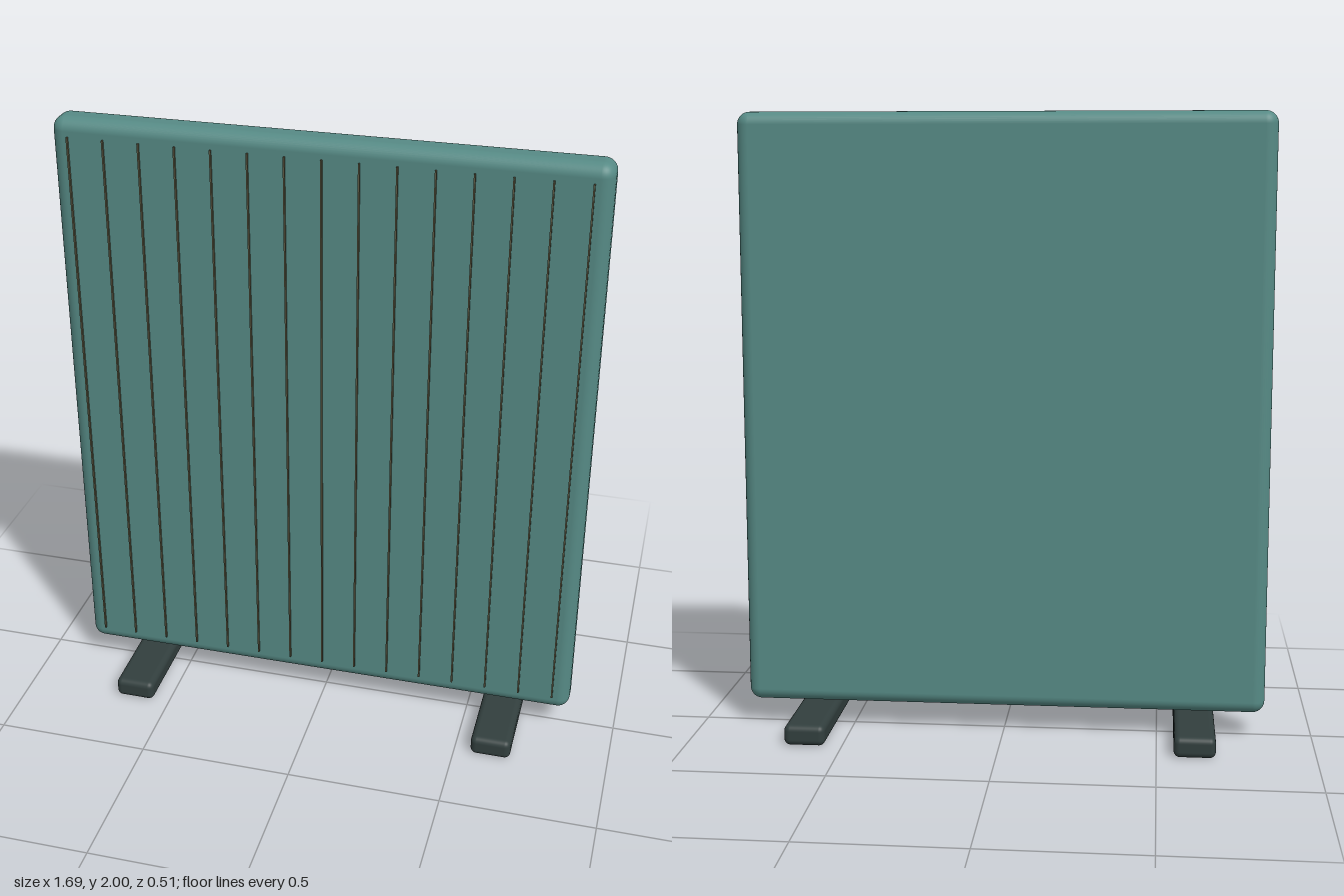
import * as THREE from 'three';
import { RoundedBoxGeometry } from 'three/addons/geometries/RoundedBoxGeometry.js';

export function createModel() {
  const group = new THREE.Group();
  group.name = 'dividerScreen';

  const material = (name, color) => {
    const m = new THREE.MeshStandardMaterial({ color });
    m.name = name;
    return m;
  };
  const teal = material('tealFabric', 0x568a85);
  const charcoal = material('charcoalFeet', 0x323f3e);
  const brown = material('oliveBrownSeam', 0x5c5a44);

  const add = (name, geometry, mat, x, y, z) => {
    const mesh = new THREE.Mesh(geometry, mat);
    mesh.name = name;
    mesh.position.set(x, y, z);
    group.add(mesh);
  };

  // Upright padded panel with rounded edges
  add('panel', new RoundedBoxGeometry(1.694, 1.918, 0.112, 5, 0.04), teal, 0, 1.041, 0);

  // Evenly spaced vertical seams just proud of the front face
  const seam = new THREE.BoxGeometry(0.005, 1.808, 0.008);
  for (let i = -7; i <= 7; i++) add('seam' + (i + 8), seam, brown, i * 0.113, 1.041, 0.062);

  // Pair of low feet running front to back
  const foot = new RoundedBoxGeometry(0.132, 0.067, 0.506, 4, 0.02);
  add('leftFoot', foot, charcoal, 0.62, 0.0335, 0);
  add('rightFoot', foot, charcoal, -0.62, 0.0335, 0);

  return group;
}
